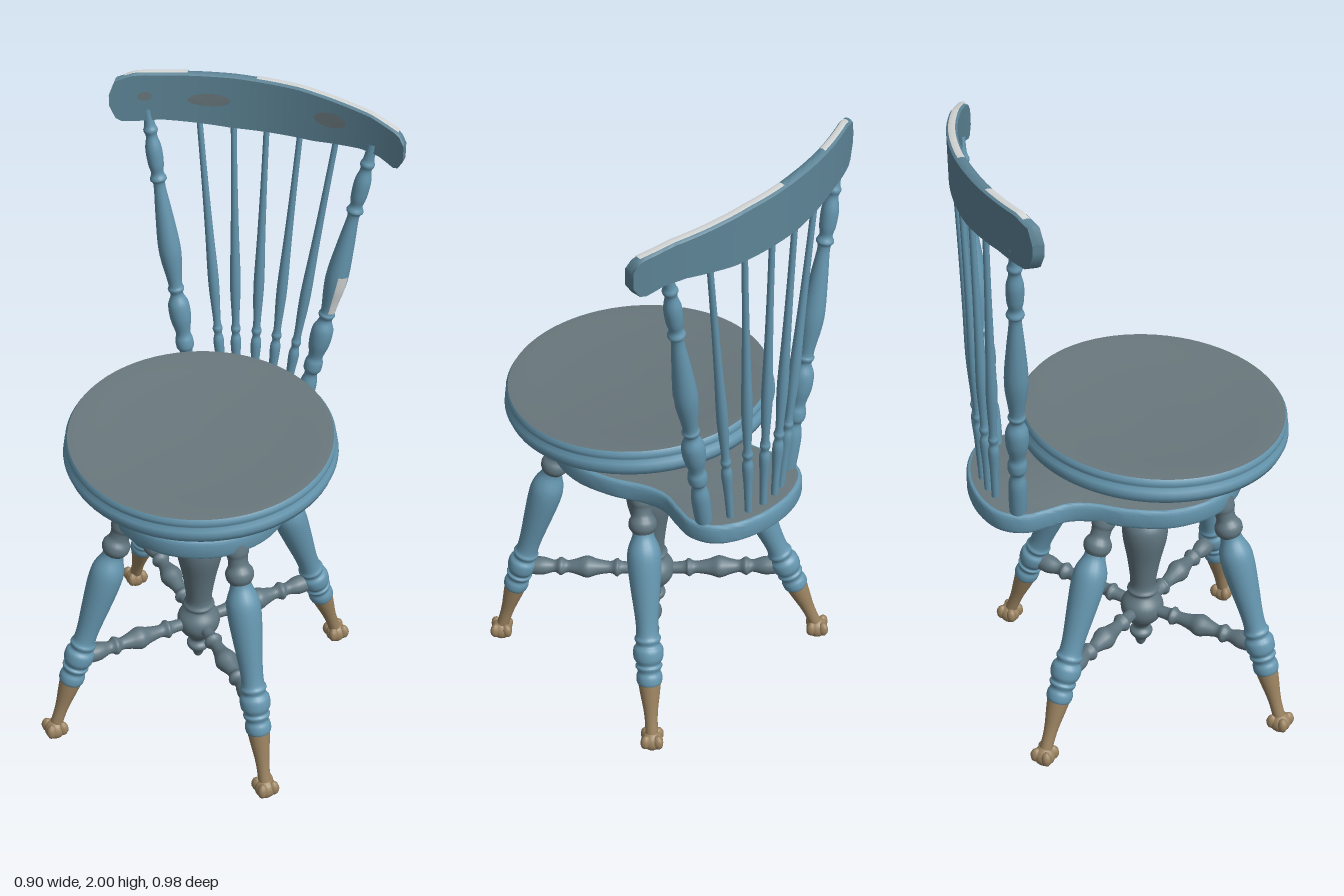
import * as THREE from 'three';
import { toCreasedNormals } from 'three/addons/utils/BufferGeometryUtils.js';

const paint = (name, color) => new THREE.MeshStandardMaterial({ name, color });
const V = (x, y, z) => new THREE.Vector3(x, y, z);
const UP = V(0, 1, 0);

// Piecewise-linear lookup through [x, value] keys
function lookup(keys, x) {
  for (let i = 1; i < keys.length; i++) {
    const [x0, y0] = keys[i - 1], [x1, y1] = keys[i];
    if (x <= x1) return y0 + (y1 - y0) * (x - x0) / (x1 - x0);
  }
  return keys[keys.length - 1][1];
}

export function createModel() {
  const blue = paint('blue paint', 0x6596af);
  const railBlue = paint('dull blue paint', 0x5d8496);
  const greyBlue = paint('worn grey blue', 0x60757f);
  const grey = paint('worn grey paint', 0x69777c);
  const darkGrey = paint('dark grey', 0x545f63);
  const tan = paint('tan feet', 0x9a8260);
  const pale = paint('pale worn edge', 0xd4d6d6);

  const model = new THREE.Group();
  const add = (name, geometry, material, parent = model) => {
    const mesh = new THREE.Mesh(geometry, material);
    mesh.name = name;
    parent.add(mesh);
    return mesh;
  };

  // Lathe-turned part: profile [t, radius] along the line from a (t = 0) to b (t = 1)
  function turned(name, profile, a, b, material, sides = 20, phi = 0, sweep = Math.PI * 2) {
    const dir = b.clone().sub(a);
    const length = dir.length();
    const curve = new THREE.SplineCurve(profile.map(([t, r]) => new THREE.Vector2(r, t * length)));
    const points = curve.getPoints(profile.length * 4);
    points.forEach(p => { p.x = Math.max(p.x, 0); });
    const mesh = add(name, new THREE.LatheGeometry(points, sides, phi, sweep), material);
    mesh.position.copy(a);
    mesh.quaternion.setFromUnitVectors(UP, dir.normalize());
    return mesh;
  }

  // Round, slightly tilted and dished seat
  const seat = new THREE.Group();
  seat.name = 'seat';
  seat.position.set(-0.02, 1.049, 0.079);
  seat.rotation.set(0.066, 0, -0.015);
  model.add(seat);
  const ring = (name, pts, material) =>
    add(name, new THREE.LatheGeometry(pts.map(p => new THREE.Vector2(...p)), 72), material, seat);
  ring('seatUnderside', [[0, -0.042], [0.388, -0.042]], grey);
  ring('seatRim', [[0.388, -0.042], [0.404, -0.035], [0.411, -0.016], [0.408, 0.002], [0.398, 0.01],
    [0.402, 0.018], [0.403, 0.03], [0.396, 0.04]], blue);
  ring('seatTop', [[0.396, 0.04], [0.365, 0.041], [0.3, 0.036], [0.2, 0.03], [0, 0.027]], grey);

  // Lower base board: round in front, necked, flaring under the back
  const half = [[0, 0.355], [0.14, 0.318], [0.24, 0.215], [0.275, 0.08], [0.248, -0.05], [0.2, -0.15],
    [0.186, -0.22], [0.203, -0.29], [0.215, -0.36], [0.185, -0.43], [0.11, -0.475], [0, -0.493]];
  const outline = half.concat(half.slice(1, -1).reverse().map(([x, z]) => [-x, z]));
  const edge = new THREE.CatmullRomCurve3(outline.map(([x, z]) => V(x, -z, 0)), true).getPoints(96);
  edge.pop();
  const board = new THREE.ExtrudeGeometry(new THREE.Shape(edge.map(p => new THREE.Vector2(p.x, p.y))), {
    depth: 0.042, bevelEnabled: true, bevelThickness: 0.012, bevelSize: 0.012, bevelOffset: -0.012, bevelSegments: 3,
  });
  board.rotateX(-Math.PI / 2);
  const base = add('baseBoard', toCreasedNormals(board, 0.6), [grey, blue]);
  base.position.set(-0.025, 0.837, 0);
  base.rotation.x = 0.024;

  // Screw and plate carrying the seat
  turned('seatScrew', [[0.86, 0.045], [0.905, 0.043], [0.915, 0.022], [0.95, 0.021], [0.965, 0.035],
    [0.985, 0.045], [0.995, 0.1], [1.02, 0.105]], V(-0.028, 0, 0.07), V(-0.028, 1, 0.07), darkGrey);

  // Central turned column
  const colA = V(-0.052, 0, 0.032), colB = V(-0.024, 1, 0.066);
  turned('centreColumn', [[0.165, 0], [0.175, 0.012], [0.2, 0.022], [0.215, 0.034], [0.23, 0.036], [0.245, 0.024],
    [0.265, 0.034], [0.29, 0.056], [0.32, 0.068], [0.35, 0.064], [0.38, 0.042], [0.395, 0.05], [0.41, 0.042],
    [0.44, 0.042], [0.52, 0.054], [0.6, 0.07], [0.65, 0.07], [0.68, 0.054], [0.7, 0.056], [0.715, 0.067],
    [0.74, 0.07], [0.79, 0.071], [0.85, 0.073]], colA, colB, greyBlue, 28);
  const hub = colA.clone().lerp(colB, 0.325);

  // Splayed legs, clawed feet and stretchers
  const footProfile = [[0, 0.02], [0.07, 0.02], [0.12, 0.023], [0.18, 0.03], [0.235, 0.036]];
  const legProfile = [[0.22, 0.03], [0.235, 0.039], [0.26, 0.04], [0.28, 0.035], [0.3, 0.042], [0.312, 0.037],
    [0.335, 0.046], [0.37, 0.046], [0.39, 0.036], [0.41, 0.041], [0.43, 0.035], [0.49, 0.036], [0.6, 0.045],
    [0.7, 0.052], [0.76, 0.05], [0.81, 0.035], [0.83, 0.032]];
  const neckProfile = [[0.83, 0.032], [0.85, 0.042], [0.875, 0.042], [0.9, 0.031], [0.93, 0.031],
    [0.955, 0.037], [1.02, 0.036]];
  const stretcherProfile = [[0, 0.02], [0.22, 0.02], [0.27, 0.03], [0.32, 0.02], [0.42, 0.026], [0.5, 0.036],
    [0.58, 0.026], [0.65, 0.02], [0.7, 0.03], [0.75, 0.02], [0.85, 0.03], [1, 0.024]];
  const legs = [
    ['frontLeft', V(0.303, 0.04, 0.41), 1, 1], ['frontRight', V(-0.398, 0.075, 0.41), -1, 1],
    ['backLeft', V(0.313, 0.075, -0.33), 1, -1], ['backRight', V(-0.412, 0.105, -0.35), -1, -1]];
  for (const [label, foot, sx, sz] of legs) {
    const top = V(-0.027 + 0.172 * sx, 0.85, 0.07 + 0.175 * sz);
    turned(label + 'FootStem', footProfile, foot, top, tan);
    turned(label + 'Leg', legProfile, foot, top, blue);
    turned(label + 'LegNeck', neckProfile, foot, top, greyBlue);
    turned(label + 'Stretcher', stretcherProfile, hub, foot.clone().lerp(top, 0.34), greyBlue, 16);

    const claw = new THREE.Group();
    claw.name = label + 'ClawFoot';
    claw.position.copy(foot);
    claw.rotation.y = Math.atan2(sx, sz);
    model.add(claw);
    add('ball', new THREE.SphereGeometry(0.034, 16, 12), tan, claw).position.y = -0.006;
    for (let i = 0; i < 4; i++) {
      const a = (i + 0.5) * Math.PI / 2;
      const toe = add('toe', new THREE.SphereGeometry(0.016, 10, 8), tan, claw);
      toe.scale.set(1, 1.6, 1.2);
      toe.position.set(Math.sin(a) * 0.026, 0, Math.cos(a) * 0.026);
      toe.rotation.y = a;
    }
  }

  // Curved crest rail: a box bent and shaped along x, its front and back edges eased
  const bend = x => -0.465 - 0.0585 * x + 0.561 * x * x;
  const railTop = [[-0.44, 1.94], [-0.425, 1.983], [-0.375, 1.998], [-0.1, 1.992], [0.1, 1.98], [0.33, 1.95],
    [0.42, 1.924], [0.44, 1.895]];
  const railBottom = [[-0.44, 1.9], [-0.42, 1.848], [-0.36, 1.845], [-0.3, 1.847], [-0.1, 1.825], [0.15, 1.82],
    [0.3, 1.835], [0.36, 1.83], [0.41, 1.81], [0.43, 1.815], [0.44, 1.84]];
  const rail = new THREE.BoxGeometry(0.88, 1, 0.032, 56, 4, 4);
  const pos = rail.attributes.position;
  for (let i = 0; i < pos.count; i++) {
    const x = pos.getX(i), z = pos.getZ(i), low = lookup(railBottom, x), high = lookup(railTop, x);
    const ease = pos.getY(i) > 0.49 ? 25 * z * z : 0;
    pos.setXYZ(i, x, low + (high - low) * (pos.getY(i) + 0.5) - ease, bend(x) + z);
  }
  add('crestRail', toCreasedNormals(rail, 0.7), railBlue);

  // Pale worn strips along the top of the rail
  for (const [x0, x1] of [[-0.4, -0.23], [-0.03, 0.42]]) {
    const strip = new THREE.PlaneGeometry(x1 - x0, 0.02, 24, 2);
    strip.rotateX(-Math.PI / 2);
    const p = strip.attributes.position;
    for (let i = 0; i < p.count; i++) {
      const x = p.getX(i) + (x0 + x1) / 2, z = p.getZ(i);
      p.setXYZ(i, x, lookup(railTop, x) + 0.003 - 25 * z * z, bend(x) + z);
    }
    strip.computeVertexNormals();
    add('wornTopEdge', strip, pale);
  }

  // Worn patches on the front of the rail
  for (const [cx, cy, rx, ry] of [[-0.345, 1.925, 0.02, 0.014], [-0.165, 1.913, 0.062, 0.02], [0.2, 1.9, 0.05, 0.023]]) {
    const patch = new THREE.CircleGeometry(1, 20);
    const p = patch.attributes.position;
    for (let i = 0; i < p.count; i++) {
      const x = cx + p.getX(i) * rx;
      p.setXYZ(i, x, cy + p.getY(i) * ry, bend(x) + 0.019);
    }
    patch.computeVertexNormals();
    add('wornPatch', patch, grey);
  }

  // Outer turned back posts
  const postProfile = [[0, 0.024], [0.06, 0.027], [0.13, 0.027], [0.17, 0.02], [0.19, 0.028], [0.215, 0.028],
    [0.24, 0.023], [0.29, 0.033], [0.34, 0.033], [0.375, 0.02], [0.395, 0.026], [0.415, 0.022], [0.5, 0.033],
    [0.56, 0.034], [0.66, 0.026], [0.75, 0.018], [0.77, 0.026], [0.79, 0.019], [0.82, 0.024], [0.87, 0.025],
    [0.91, 0.017], [0.93, 0.022], [0.95, 0.016], [1, 0.016]];
  const posts = [
    ['leftPost', V(0.15, 0.88, -0.38), V(0.338, 1.86, -0.415)],
    ['rightPost', V(-0.203, 0.88, -0.372), V(-0.345, 1.88, -0.378)]];
  for (const [name, a, b] of posts) turned(name, postProfile, a, b, blue);
  turned('leftPostWear', [[0.41, 0.025], [0.45, 0.0285], [0.5, 0.035], [0.55, 0.036]],
    posts[0][1], posts[0][2], pale, 8, 0.3, 1);

  // Five thin spindles fanning out from base to rail
  const spindleProfile = [[0, 0.011], [0.12, 0.013], [0.2, 0.017], [0.23, 0.012], [0.25, 0.016], [0.28, 0.012],
    [0.42, 0.017], [0.6, 0.013], [0.8, 0.01], [1, 0.009]];
  const spindles = [[-0.12, -0.2], [-0.08, -0.1], [-0.025, 0], [0.03, 0.105], [0.085, 0.22]];
  for (const [x0, x1] of spindles) {
    const z0 = -0.447 + 2.2 * (x0 + 0.02) ** 2;
    turned('spindle', spindleProfile, V(x0, 0.88, z0), V(x1, 1.85, bend(x1)), blue, 12);
  }

  return model;
}
